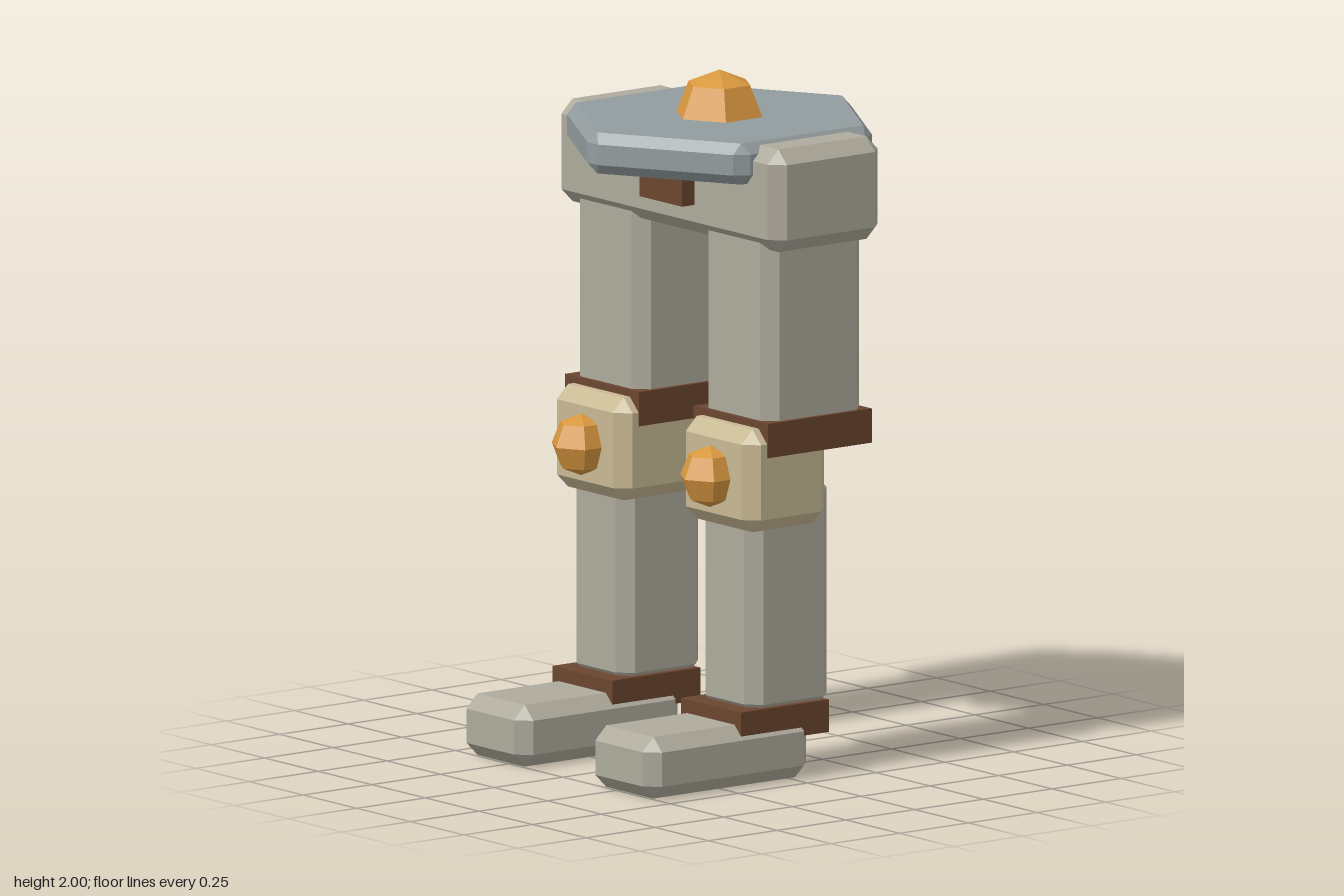
import * as THREE from 'three';
import { ConvexGeometry } from 'three/addons/geometries/ConvexGeometry.js';

const material = (name, color) => {
  const m = new THREE.MeshStandardMaterial({ color, flatShading: true });
  m.name = name;
  return m;
};

// Box with all edges and corners chamfered, given as [min, max] ranges
function chamferBox(x, y, z, c = 0.04) {
  const half = [x, y, z].map(([a, b]) => (b - a) / 2);
  const mid = [x, y, z].map(([a, b]) => (a + b) / 2);
  const points = [];
  for (let axis = 0; axis < 3; axis++)
    for (const sx of [-1, 1]) for (const sy of [-1, 1]) for (const sz of [-1, 1]) {
      const p = [sx, sy, sz].map((s, i) => s * (half[i] - (i === axis ? 0 : c)));
      points.push(new THREE.Vector3(...p));
    }
  return new ConvexGeometry(points).translate(...mid);
}

// Plain box from [min, max] ranges
function box(x, y, z) {
  return new THREE.BoxGeometry(x[1] - x[0], y[1] - y[0], z[1] - z[0])
    .translate((x[0] + x[1]) / 2, (y[0] + y[1]) / 2, (z[0] + z[1]) / 2);
}

// Hexagonal plate with bevelled rims and clipped corners
function hexPlate(innerR, outerR, clip, y0, y1, bevel) {
  const corner = (r, i) => {
    const a = i * Math.PI / 3;
    return new THREE.Vector3(r * Math.sin(a), 0, r * Math.cos(a));
  };
  const points = [];
  for (let i = 0; i < 6; i++) {
    for (const y of [y0, y1]) points.push(corner(innerR, i).setY(y));
    for (const y of [y0 + bevel, y1 - bevel])
      for (const side of [-1, 1])
        points.push(corner(outerR, i).lerp(corner(outerR, i + side), clip / outerR).setY(y));
  }
  return new ConvexGeometry(points);
}

export function createModel() {
  const stone = material('stone', 0xaeaa9c);
  const pad = material('tan plate', 0xc8b994);
  const steel = material('blue grey steel', 0x929c9e);
  const gold = material('gold', 0xd8973e);
  const leather = material('brown leather', 0x6b4630);

  const model = new THREE.Group();
  model.name = 'armouredLegs';
  const add = (parent, name, geometry, mat) => {
    const mesh = new THREE.Mesh(geometry, mat);
    mesh.name = name;
    parent.add(mesh);
    return mesh;
  };

  // Hips, with an off-centre leather tab at the front
  add(model, 'pelvis', chamferBox([-0.52, 0.52], [1.56, 1.86], [-0.27, 0.13]), stone);
  add(model, 'beltTab', box([-0.06, 0.14], [1.65, 1.77], [0.08, 0.175]), leather);

  // Waist plate and its faceted boss
  add(model, 'waistPlate', hexPlate(0.445, 0.476, 0.029, 1.75, 1.87, 0.03), steel)
    .position.z = -0.07;
  const boss = new THREE.SphereGeometry(0.135, 6, 2, 0, Math.PI * 2, 0, Math.PI / 2);
  add(model, 'waistBoss', boss.rotateY(Math.PI / 2), gold).position.set(0, 1.865, -0.07);

  // Each leg is built around its own centre line
  for (const [name, x] of [['leftLeg', 0.3], ['rightLeg', -0.3]]) {
    const leg = new THREE.Group();
    leg.name = name;
    leg.position.x = x;
    model.add(leg);
    add(leg, 'thigh', chamferBox([-0.16, 0.16], [0.98, 1.64], [-0.25, 0.11]), stone);
    add(leg, 'thighStrap', box([-0.173, 0.173], [0.96, 1.06], [-0.255, 0.123]), leather);
    add(leg, 'kneePad', chamferBox([-0.17, 0.17], [0.74, 1.04], [-0.115, 0.185]), pad);
    const stud = new THREE.SphereGeometry(0.09, 6, 4).rotateY(Math.PI / 2);
    add(leg, 'kneeStud', stud, gold).position.set(0, 0.89, 0.2);
    add(leg, 'shin', chamferBox([-0.13, 0.13], [0.19, 0.87], [-0.155, 0.145]), stone);
    add(leg, 'ankleStrap', box([-0.14, 0.14], [0.125, 0.22], [-0.125, 0.195]), leather);
    add(leg, 'foot', chamferBox([-0.15, 0.15], [0, 0.18], [-0.065, 0.53]), stone);
  }
  return model;
}
